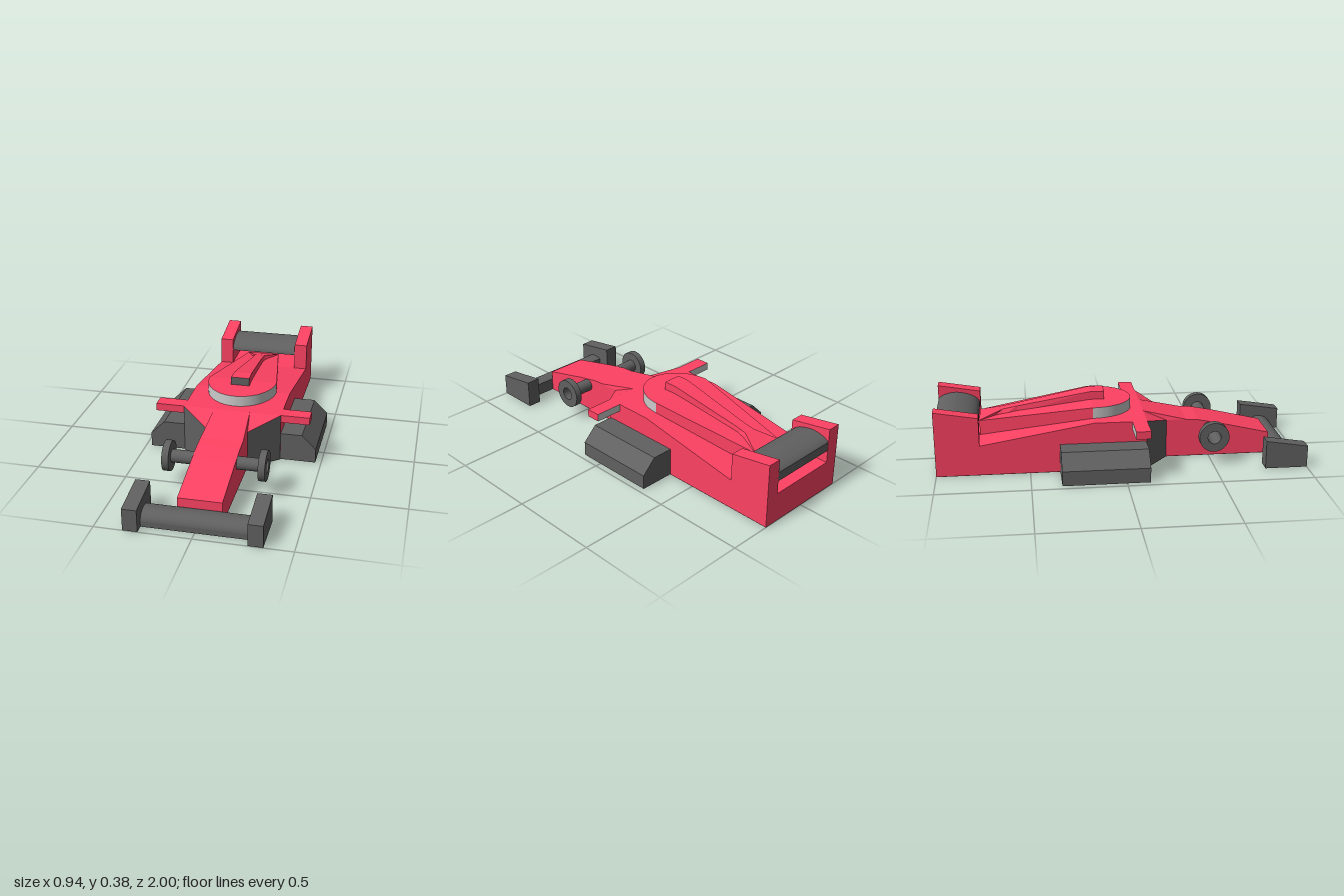
import * as THREE from 'three';

const red = new THREE.MeshStandardMaterial({ color: 0xff4263 });
const dark = new THREE.MeshStandardMaterial({ color: 0x606060 });
const grey = new THREE.MeshStandardMaterial({ color: 0xcccccc });
const twoSided = (m) => { const c = m.clone(); c.side = THREE.DoubleSide; return c; };
const red2 = twoSided(red), dark2 = twoSided(dark);

const shapeOf = (pts) => new THREE.Shape(pts.map(([a, b]) => new THREE.Vector2(a, b)));

function add(parent, name, geometry, material) {
  const mesh = new THREE.Mesh(geometry, material);
  mesh.name = name;
  parent.add(mesh);
  return mesh;
}

// Side profile in (z, y), extruded along x from x0 to x1
function slab(shape, x0, x1) {
  const g = new THREE.ExtrudeGeometry(shape, { depth: x1 - x0, bevelEnabled: false, curveSegments: 32 });
  return g.rotateY(-Math.PI / 2).translate(x1, 0, 0);
}

// Flat-shaded polygons, corners counter-clockwise from outside
function facets(polys) {
  const pos = [];
  for (const p of polys)
    for (let i = 1; i < p.length - 1; i++) pos.push(...p[0], ...p[i], ...p[i + 1]);
  const g = new THREE.BufferGeometry();
  g.setAttribute('position', new THREE.Float32BufferAttribute(pos, 3));
  g.computeVertexNormals();
  return g;
}

// Box-like loft through stations [z, bottom half width, top half width, bottom y, top y], front to back
function loft(stations) {
  const rings = stations.map(([z, wb, wt, b, t]) => [[-wb, b, z], [wb, b, z], [wt, t, z], [-wt, t, z]]);
  const polys = [[...rings[rings.length - 1]].reverse()];
  for (let i = 0; i < rings.length - 1; i++)
    for (let j = 0; j < 4; j++) {
      const k = (j + 1) % 4;
      polys.push([rings[i][j], rings[i + 1][j], rings[i + 1][k], rings[i][k]]);
    }
  return { body: facets(polys), front: facets([rings[0]]) };
}

const circleHole = (z, y, r) => new THREE.Path().absarc(z, y, r, 0, Math.PI * 2, true);

export function createModel() {
  const model = new THREE.Group();
  const AXLE_Z = 0.5, AXLE_Y = 0.16, BORE = 0.034;

  // Main hull
  add(model, 'hull', slab(shapeOf([[0.13, 0], [0.13, 0.27], [-0.155, 0.27], [-0.765, 0.165],
    [-1, 0.165], [-1, 0]].reverse()), -0.272, 0.272), red);

  // Nose with the axle bore through it
  const nose = shapeOf([[0.84, 0], [0.84, 0.12], [0.56, 0.186], [0.44, 0.21], [0.37, 0.215], [0.26, 0.215], [0.26, 0]].reverse());
  nose.holes.push(circleHole(AXLE_Z, AXLE_Y, BORE));
  add(model, 'nose', slab(nose, -0.115, 0.115), red);

  // Flat underside
  const half = [[0.115, 0.84], [0.115, 0.26], [0.272, 0.13], [0.272, -1]];
  const floor = new THREE.ShapeGeometry(shapeOf([...half, ...half.map(([x, z]) => [-x, z]).reverse()]));
  add(model, 'floor', floor.rotateX(Math.PI / 2).translate(0, -0.001, 0), dark2);

  // Canopy: rounded front with a grey band, tapering tail
  const canopyFront = new THREE.CylinderGeometry(1, 1, 0.06, 48, 1, false, -Math.PI / 2, Math.PI);
  canopyFront.scale(0.195, 1, 0.225).translate(0, 0.3, -0.155);
  add(model, 'canopyFront', canopyFront, [grey, red, red]);
  add(model, 'canopyTail', loft([[-0.155, 0.195, 0.195, 0.26, 0.33], [-0.765, 0.095, 0.095, 0.15, 0.246]]).body, red);

  // Air scoop running back along the canopy
  const scoop = loft([[-0.08, 0.052, 0.052, 0.32, 0.375], [-0.155, 0.05, 0.05, 0.32, 0.375],
    [-0.56, 0.036, 0.03, 0.26, 0.3], [-0.64, 0.05, 0.03, 0.25, 0.285], [-0.765, 0.094, 0.094, 0.2, 0.248]]);
  add(model, 'airScoop', scoop.body, red);
  add(model, 'scoopInlet', scoop.front, dark);

  // Front wing
  const frontFoil = new THREE.Shape();
  frontFoil.moveTo(0.95, 0);
  frontFoil.lineTo(0.95, 0.03);
  frontFoil.bezierCurveTo(0.945, 0.065, 0.91, 0.08, 0.885, 0.08);
  frontFoil.quadraticCurveTo(0.855, 0.08, 0.84, 0.07);
  frontFoil.lineTo(0.84, 0);
  add(model, 'frontWing', slab(frontFoil, -0.275, 0.275), dark);

  // Rear wing
  const rearFoil = new THREE.Shape();
  rearFoil.moveTo(-0.768, 0.25);
  rearFoil.bezierCurveTo(-0.77, 0.29, -0.84, 0.315, -0.9, 0.318);
  rearFoil.quadraticCurveTo(-0.97, 0.315, -0.998, 0.285);
  rearFoil.lineTo(-0.998, 0.235);
  rearFoil.quadraticCurveTo(-0.88, 0.25, -0.768, 0.25);
  add(model, 'rearWing', slab(rearFoil, -0.198, 0.198), dark);

  // Front axle tube
  const axle = new THREE.CylinderGeometry(0.035, 0.035, 0.49, 32, 1, true);
  add(model, 'frontAxle', axle.rotateZ(Math.PI / 2).translate(0, AXLE_Y, AXLE_Z), dark2);

  // Paired parts, built on the left and mirrored
  for (const s of [1, -1]) {
    const side = new THREE.Group();
    side.name = s > 0 ? 'leftSide' : 'rightSide';
    side.scale.x = s;
    model.add(side);

    // Shoulder between nose and hull
    const N = [0.115, 0.215, 0.37], D = [0.115, 0.215, 0.26], C = [0.272, 0.27, 0.13], E = [0.1, 0.27, 0.13];
    add(side, 'shoulder', facets([[D, C, E], [N, D, E], [[0, 0.215, 0.37], N, E, [0, 0.27, 0.13]]]), red2);
    add(side, 'intakePanel', facets([[[0.115, 0, 0.26], [0.272, 0, 0.13], C, D]]), dark2);

    // Side pod with chamfered outer edge
    const pod = new THREE.ExtrudeGeometry(shapeOf([[0.26, 0], [0.468, 0], [0.468, 0.08], [0.39, 0.157], [0.26, 0.157]]),
      { depth: 0.465, bevelEnabled: false });
    add(side, 'sidePod', pod.translate(0, 0, -0.34), dark);

    // Mirror arm with a grey rear face
    const mirror = new THREE.BoxGeometry(0.17, 0.042, 0.08).translate(0.345, 0.249, 0.09);
    add(side, 'mirror', mirror, [red, red, red, red, red, grey]);

    // Wing end plates
    add(side, 'frontEndPlate', slab(shapeOf([[0.77, 0], [1, 0], [1, 0.12], [0.77, 0.156]]), 0.273, 0.35), dark);
    add(side, 'rearEndPlate', slab(shapeOf([[-1, 0.16], [-0.765, 0.16], [-0.765, 0.32], [-1, 0.36]]), 0.197, 0.272), red);

    // Front wheel ring
    const wheel = new THREE.Shape().absarc(AXLE_Z, AXLE_Y, 0.082, 0, Math.PI * 2, false);
    wheel.holes.push(circleHole(AXLE_Z, AXLE_Y, 0.036));
    add(side, 'frontWheel', slab(wheel, 0.235, 0.272), dark);
  }
  return model;
}
